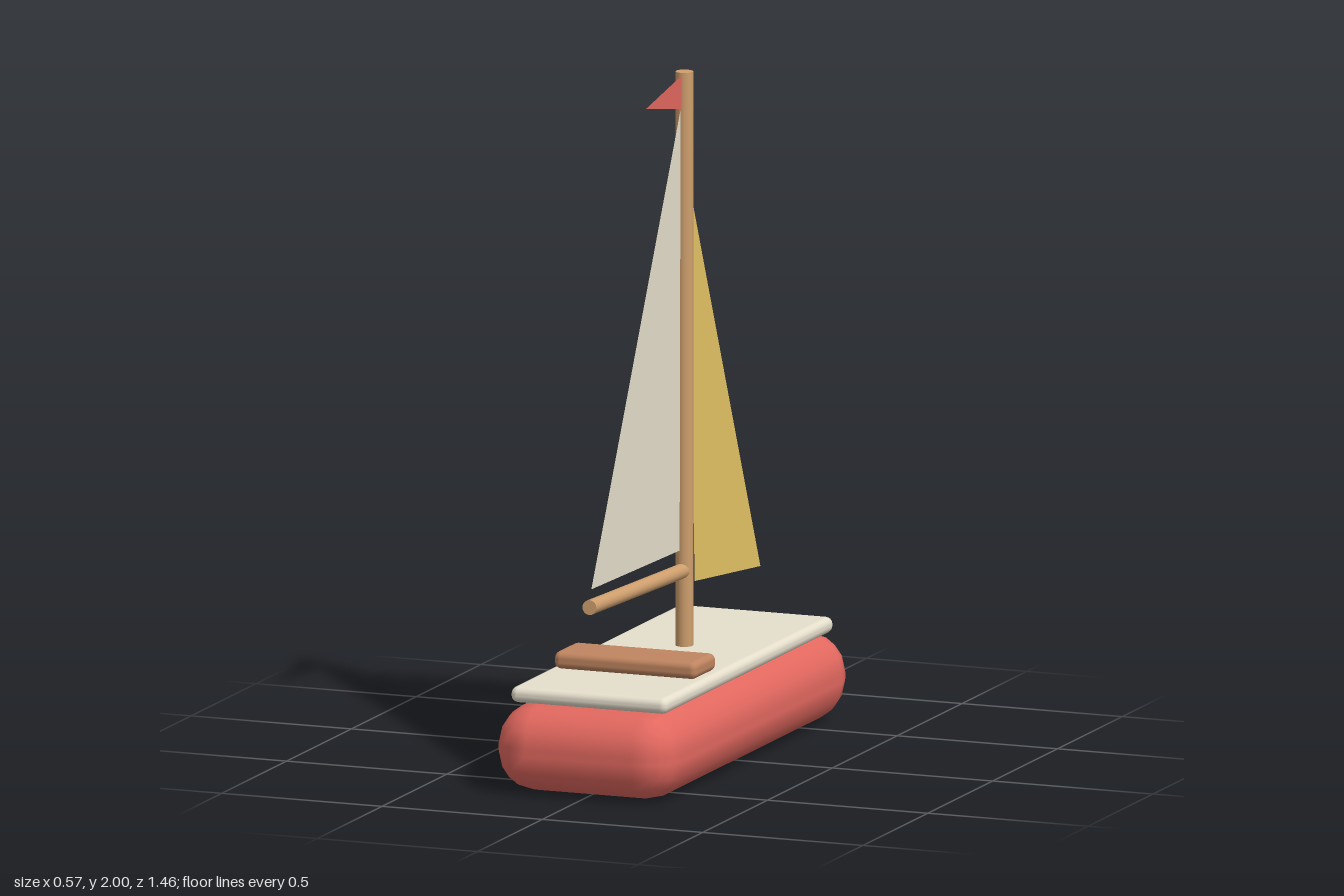
import * as THREE from 'three';
import { RoundedBoxGeometry } from 'three/addons/geometries/RoundedBoxGeometry.js';

function material(name, color, side = THREE.FrontSide) {
  const m = new THREE.MeshStandardMaterial({ color, side });
  m.name = name;
  return m;
}

export function createModel() {
  const boat = new THREE.Group();
  boat.name = 'sailboat';

  const red = material('red', 0xe2685f, THREE.DoubleSide);
  const cream = material('cream', 0xe6dfcd, THREE.DoubleSide);
  const yellow = material('yellow', 0xe5c466, THREE.DoubleSide);
  const lightWood = material('light wood', 0xcf9f6e);
  const darkWood = material('dark wood', 0xc08560);

  function add(name, geometry, mat) {
    const mesh = new THREE.Mesh(geometry, mat);
    mesh.name = name;
    boat.add(mesh);
    return mesh;
  }

  // Rounded block from its size, bottom height and z centre
  function block(name, w, h, d, radius, bottom, z, mat) {
    add(name, new RoundedBoxGeometry(w, h, d, 2, radius), mat)
      .position.set(0, bottom + h / 2, z);
  }

  // Round pole between two [z, y] points
  function pole(name, radius, a, b, mat) {
    const from = new THREE.Vector3(0, a[1], a[0]);
    const to = new THREE.Vector3(0, b[1], b[0]);
    const axis = to.clone().sub(from);
    const mesh = add(name, new THREE.CylinderGeometry(radius, radius, axis.length(), 16), mat);
    mesh.position.copy(from).add(to).multiplyScalar(0.5);
    mesh.quaternion.setFromUnitVectors(new THREE.Vector3(0, 1, 0), axis.normalize());
  }

  // Flat cloth triangle on the centre plane, corners as [z, y]
  function cloth(name, corners, mat) {
    const shape = new THREE.Shape(corners.map(([z, y]) => new THREE.Vector2(-z, y)));
    add(name, new THREE.ShapeGeometry(shape).rotateY(Math.PI / 2), mat);
  }

  // Hull, deck and bench
  block('hull', 0.57, 0.26, 1.46, 0.12, 0, 0, red);
  block('deck', 0.49, 0.048, 1.3, 0.022, 0.258, 0, cream);
  block('bench', 0.445, 0.052, 0.167, 0.02, 0.306, 0.285, darkWood);

  // Spars
  pole('mast', 0.026, [-0.095, 0.29], [-0.095, 2], lightWood);
  pole('boom', 0.022, [-0.09, 0.528], [0.637, 0.556], lightWood);

  // Sails and pennant
  cloth('mainSail', [[-0.066, 1.892], [0.622, 0.607], [-0.059, 0.592]], cream);
  cloth('jib', [[-0.124, 1.68], [-0.175, 0.48], [-0.682, 0.428]], yellow);
  cloth('pennant', [[-0.068, 1.99], [0.2, 1.945], [-0.068, 1.893]], red);

  return boat;
}
